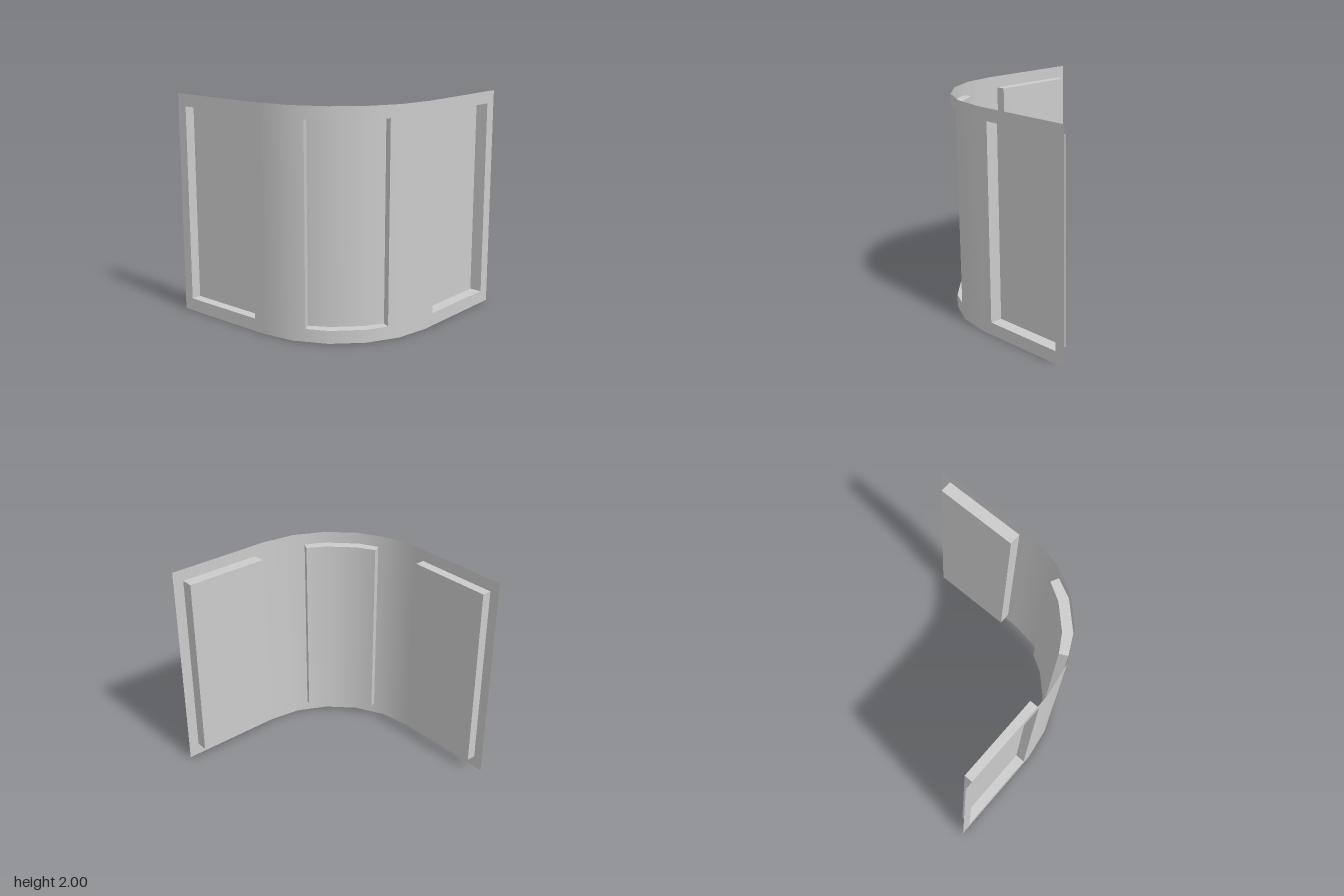
import * as THREE from 'three';

const HEIGHT = 2, LOW = 0.115, HIGH = 1.89;

// Grey surface from quads of [position, normal] corners, counter-clockwise from outside
function surface(name, quads) {
  const pos = [], nor = [];
  for (const q of quads) {
    for (const i of [0, 1, 2, 0, 2, 3]) {
      pos.push(...q[i][0]);
      nor.push(...q[i][1]);
    }
  }
  const g = new THREE.BufferGeometry();
  g.setAttribute('position', new THREE.Float32BufferAttribute(pos, 3));
  g.setAttribute('normal', new THREE.Float32BufferAttribute(nor, 3));
  const mesh = new THREE.Mesh(g, new THREE.MeshStandardMaterial({ color: 0xcccccc, side: THREE.DoubleSide }));
  mesh.name = name;
  return mesh;
}

// Outward normal: straight on the flat wings, radial on the bend
function normalAt([x, z]) {
  if (x <= 0) return [0, 0, 1];
  if (z <= 0) return [1, 0, 0];
  const l = Math.hypot(x, z);
  return [x / l, 0, z / l];
}

const corner = (p, y, n = normalAt(p)) => [[p[0], y, p[1]], n];

// Upright strip between plan points a and b
const strip = (a, b, y0, y1, na = normalAt(a), nb = normalAt(b)) =>
  [corner(a, y0, na), corner(b, y0, nb), corner(b, y1, nb), corner(a, y1, na)];

// Flat-shaded upright wall
function wall(a, b) {
  const dx = b[0] - a[0], dz = b[1] - a[1], l = Math.hypot(dx, dz);
  const n = [-dz / l, 0, dx / l];
  return strip(a, b, LOW, HIGH, n, n);
}

export function createModel() {
  const group = new THREE.Group();
  group.name = 'curvedPanel';

  // Bend: a quarter circle in five steps
  const arc = (i) => [Math.sin(i * Math.PI / 10), Math.cos(i * Math.PI / 10)];

  // Recesses in plan: rim on the sheet, floor behind it
  const recesses = [
    { name: 'frontRecess', rim: [[-0.907, 1], [-0.095, 1]], floor: [[-0.907, 0.909], [-0.095, 0.909]] },
    {
      name: 'bendRecess',
      rim: [[0.406, 0.902], arc(2), arc(3), [0.902, 0.406]],
      floor: [[0.37, 0.83], [0.535, 0.732], [0.732, 0.535], [0.83, 0.37]],
    },
    { name: 'sideRecess', rim: [[1, -0.108], [1, -0.897]], floor: [[0.887, -0.108], [0.887, -0.897]] },
  ];
  const [front, bend, side] = recesses;

  // Full-height stretches of the sheet between the recesses
  const solid = [
    [[-1, 1], front.rim[0]],
    [front.rim[1], arc(0), arc(1), bend.rim[0]],
    [bend.rim[3], arc(4), arc(5), side.rim[0]],
    [side.rim[1], [1, -1]],
  ];
  const sheet = [];
  const eachSpan = (path, fn) => {
    for (let i = 0; i + 1 < path.length; i++) fn(path[i], path[i + 1], i);
  };
  for (const path of solid) eachSpan(path, (a, b) => sheet.push(strip(a, b, 0, HEIGHT)));

  for (const { name, rim, floor } of recesses) {
    const floorQuads = [], walls = [];
    const up = [0, 1, 0], down = [0, -1, 0];
    eachSpan(rim, (a, b, i) => {
      const c = floor[i], d = floor[i + 1];
      // Bands of sheet below and above the opening
      sheet.push(strip(a, b, 0, LOW), strip(a, b, HIGH, HEIGHT));
      floorQuads.push(strip(c, d, LOW, HIGH, normalAt(a), normalAt(b)));
      // Sill and head
      walls.push([corner(a, LOW, up), corner(b, LOW, up), corner(d, LOW, up), corner(c, LOW, up)]);
      walls.push([corner(c, HIGH, down), corner(d, HIGH, down), corner(b, HIGH, down), corner(a, HIGH, down)]);
    });
    // End walls
    const n = rim.length - 1;
    walls.push(wall(rim[0], floor[0]), wall(floor[n], rim[n]));

    const recess = new THREE.Group();
    recess.name = name;
    recess.add(surface('recessFloor', floorQuads), surface('recessWalls', walls));
    group.add(recess);
  }

  group.add(surface('sheet', sheet));
  return group;
}
